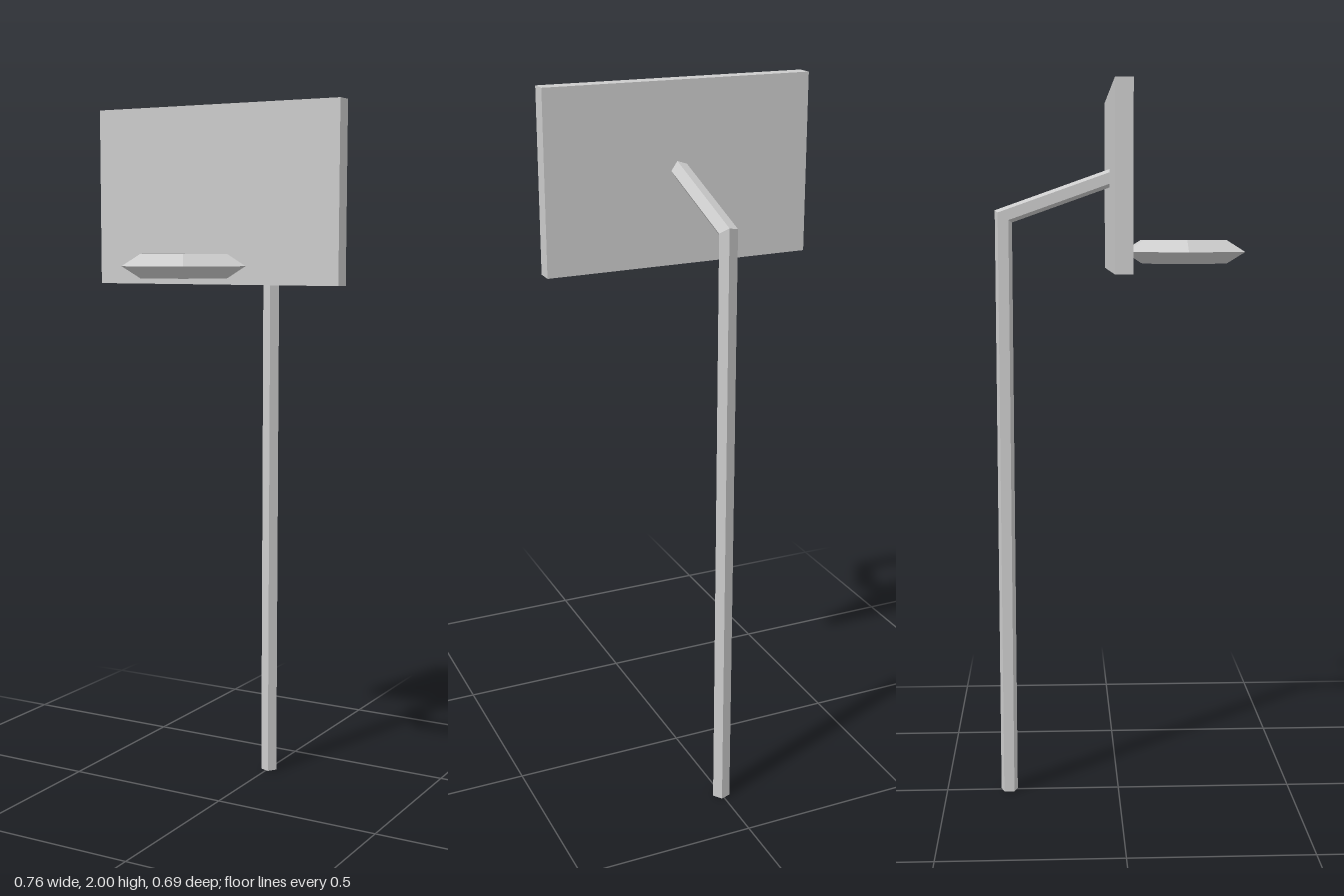
import * as THREE from 'three';

const material = new THREE.MeshStandardMaterial({ color: 0xcccccc, flatShading: true });

function addPart(group, name, geometry) {
  const mesh = new THREE.Mesh(geometry, material);
  mesh.name = name;
  group.add(mesh);
  return mesh;
}

// Five-sided tube bent in the yz plane. Each station gives its centre (y, z)
// and how far y and z shift per unit of outward offset, so joints are mitred.
function bentTube(stations, radius, sides) {
  const positions = [];
  const indices = [];
  for (const { y, z, dy, dz } of stations) {
    for (let i = 0; i < sides; i++) {
      const a = (i / sides) * Math.PI * 2;
      const d = radius * Math.sin(a);
      positions.push(radius * Math.cos(a), y + d * dy, z + d * dz);
    }
  }
  for (let s = 0; s < stations.length - 1; s++) {
    for (let i = 0; i < sides; i++) {
      const j = (i + 1) % sides;
      const a = s * sides + i, b = s * sides + j;
      indices.push(a, b, b + sides, a, b + sides, a + sides);
    }
  }
  // End caps
  const last = (stations.length - 1) * sides;
  for (let i = 1; i < sides - 1; i++) {
    indices.push(0, i + 1, i);
    indices.push(last, last + i, last + i + 1);
  }
  const geometry = new THREE.BufferGeometry();
  geometry.setAttribute('position', new THREE.Float32BufferAttribute(positions, 3));
  geometry.setIndex(indices);
  geometry.computeVertexNormals();
  return geometry;
}

export function createModel() {
  const group = new THREE.Group();
  group.name = 'basketballHoop';

  // Backboard
  addPart(group, 'backboard', new THREE.BoxGeometry(0.757, 0.49, 0.047))
    .position.set(0, 1.755, -0.001);

  // Pole with the arm rising forward to the backboard
  const poleZ = -0.319, bendY = 1.66, armZ = -0.02, armY = 1.766;
  const slope = Math.atan2(armY - bendY, armZ - poleZ);
  const mitre = Math.tan((Math.PI / 2 - slope) / 2);
  addPart(group, 'poleAndArm', bentTube([
    { y: 0, z: poleZ, dy: 0, dz: -1 },
    { y: bendY, z: poleZ, dy: mitre, dz: -1 },
    { y: armY, z: armZ, dy: 1 / Math.cos(slope), dz: 0 },
  ], 0.025, 5));

  // Hexagonal rim with a triangular section
  const rim = new THREE.TorusGeometry(0.151, 0.037, 3, 6);
  rim.rotateX(-Math.PI / 2);
  addPart(group, 'rim', rim).position.set(-0.004, 1.563, 0.181);

  return group;
}
